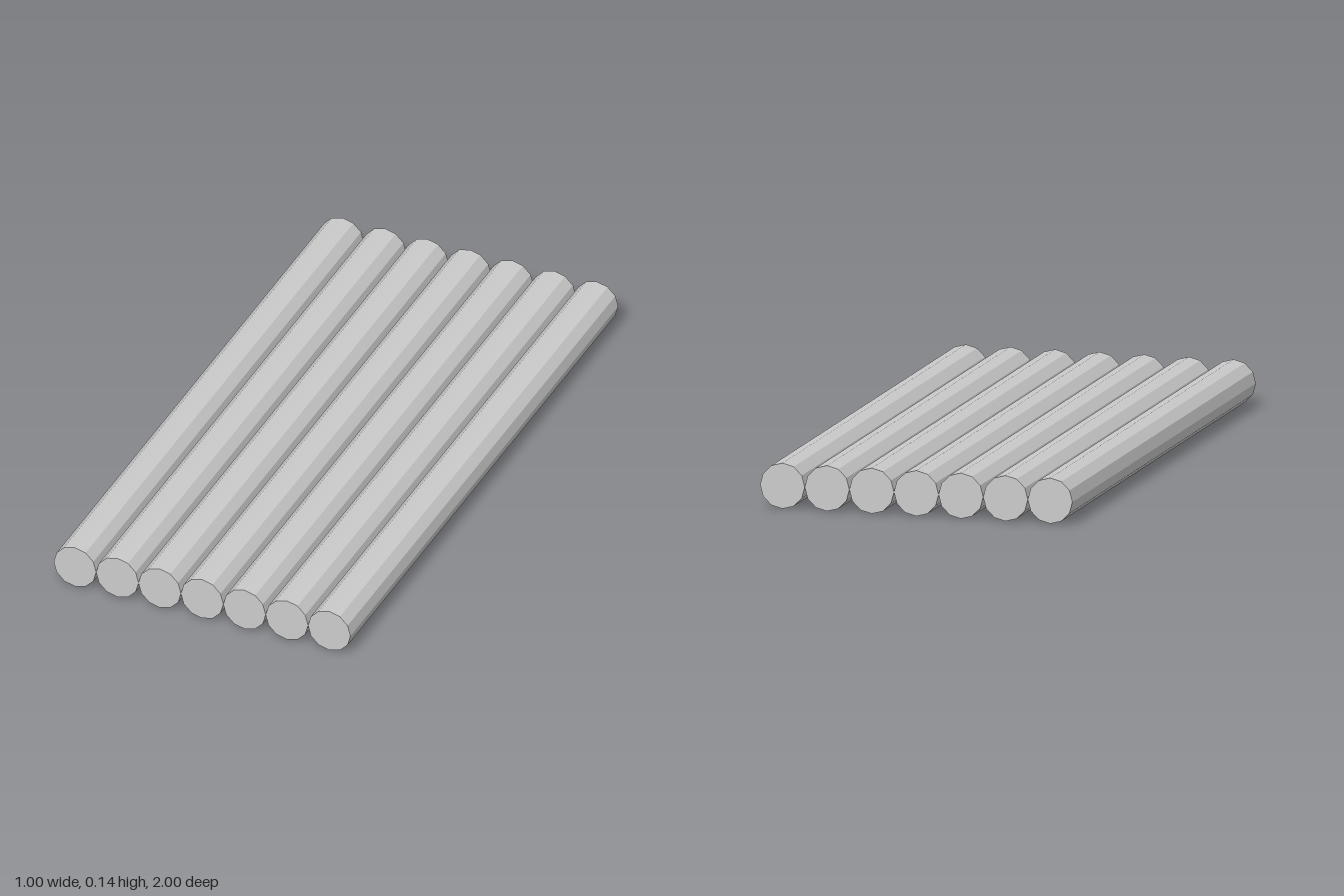
import * as THREE from 'three';

export function createModel() {
  const group = new THREE.Group();
  group.name = 'logRaft';

  const count = 7;
  const width = 1;
  const length = 2;
  const radius = width / count / 2;

  // One twelve-sided log lying along z
  const logGeometry = new THREE.CylinderGeometry(radius, radius, length, 12);
  logGeometry.rotateX(Math.PI / 2);
  const material = new THREE.MeshStandardMaterial({ color: 0xcccccc, flatShading: true });

  // Row of logs touching side by side
  for (let i = 0; i < count; i++) {
    const log = new THREE.Mesh(logGeometry, material);
    log.name = `log${i + 1}`;
    log.position.set((i - (count - 1) / 2) * radius * 2, radius, 0);
    group.add(log);
  }

  return group;
}
